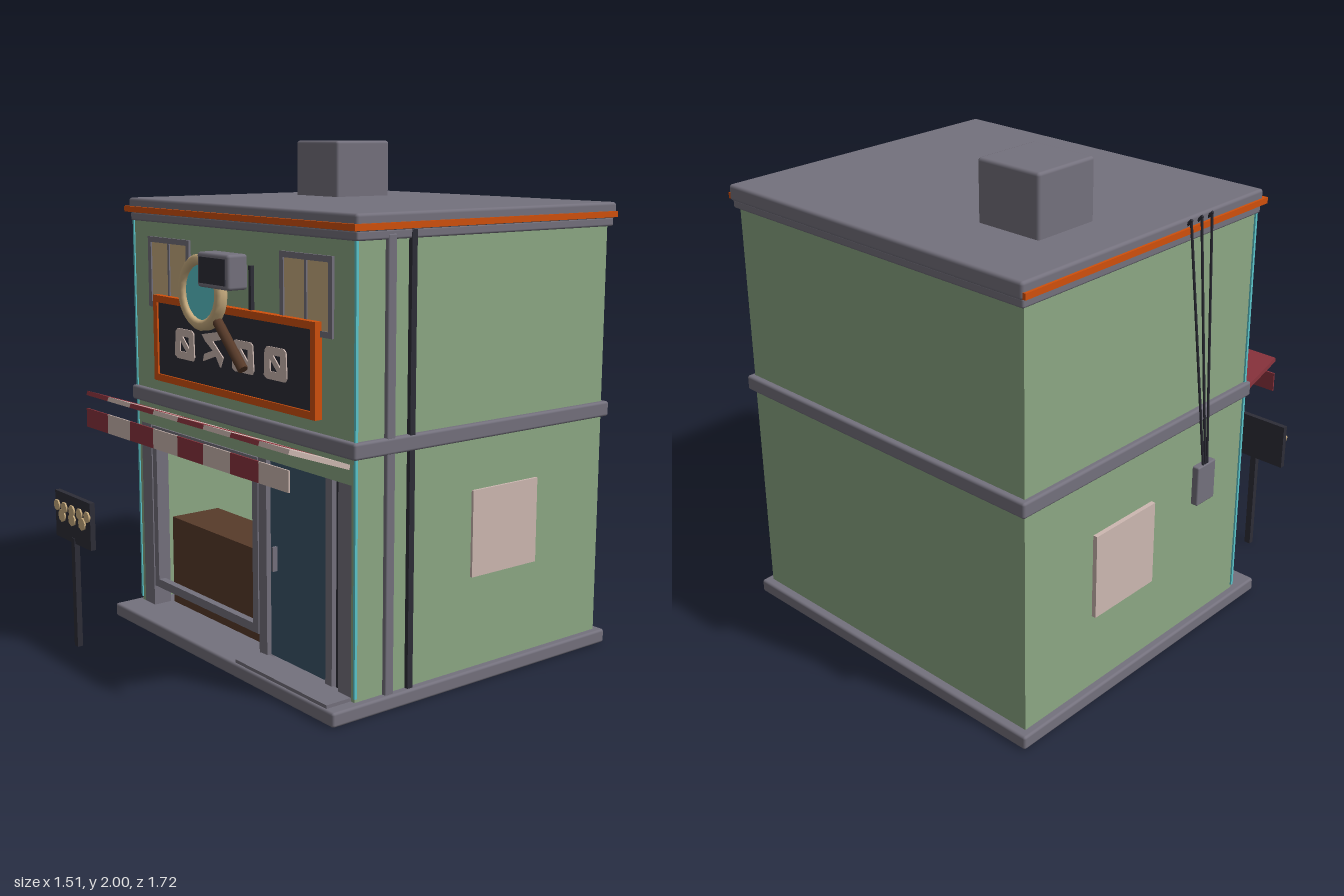
import * as THREE from 'three';
import { RoundedBoxGeometry } from 'three/addons/geometries/RoundedBoxGeometry.js';

const paint = (name, color) => {
  const m = new THREE.MeshStandardMaterial({ color });
  m.name = name;
  return m;
};

export function createModel() {
  const root = new THREE.Group();
  root.name = 'cornerShop';
  const grey = paint('stone grey', 0x74717d), green = paint('wall green', 0x8ca884);
  const orange = paint('trim orange', 0xd0500c), dark = paint('charcoal', 0x2d2d37);
  const tan = paint('warm tan', 0xcaae80), cyan = paint('light cyan', 0x5bc6cc);
  const red = paint('awning red', 0x8c343e), cream = paint('pale pink', 0xcdb8b1);
  const brown = paint('wood brown', 0x583b2a), blue = paint('door blue', 0x3a556a);

  const add = (name, geo, mat, x = 0, y = 0, z = 0, parent = root) => {
    const m = new THREE.Mesh(geo, mat);
    m.name = name;
    m.position.set(x, y, z);
    parent.add(m);
    return m;
  };
  // Box given by its limits; bevel > 0 softens the edges
  const box = (name, mat, [x0, x1], [y0, y1], [z0, z1], bevel = 0) => {
    const s = [x1 - x0, y1 - y0, z1 - z0];
    const g = bevel ? new RoundedBoxGeometry(...s, 2, bevel) : new THREE.BoxGeometry(...s);
    return add(name, g, mat, (x0 + x1) / 2, (y0 + y1) / 2, (z0 + z1) / 2);
  };
  // Straight round bar between two points
  const bar = (name, mat, a, b, r, sides = 8) => {
    const p = new THREE.Vector3(...a), q = new THREE.Vector3(...b), d = q.clone().sub(p);
    const m = add(name, new THREE.CylinderGeometry(r, r, d.length(), sides), mat, ...p.clone().lerp(q, 0.5).toArray());
    m.quaternion.setFromUnitVectors(new THREE.Vector3(0, 1, 0), d.normalize());
    return m;
  };
  const rectPath = (P, x0, x1, y0, y1) => {
    const p = new P();
    p.moveTo(x0, y0); p.lineTo(x1, y0); p.lineTo(x1, y1); p.lineTo(x0, y1); p.closePath();
    return p;
  };
  // Rectangular frame with an open middle
  const frame = (name, mat, [x0, x1], [y0, y1], [z0, z1], t) => {
    const s = rectPath(THREE.Shape, x0, x1, y0, y1);
    s.holes.push(rectPath(THREE.Path, x0 + t, x1 - t, y0 + t, y1 - t));
    return add(name, new THREE.ExtrudeGeometry(s, { depth: z1 - z0, bevelEnabled: false }), mat, 0, 0, z0);
  };

  // Base, storey band and roof
  box('baseSlab', grey, [-0.75, 0.75], [0, 0.055], [-0.86, 0.54], 0.01);
  box('doorStep', grey, [0.14, 0.7], [0.05, 0.068], [0.4, 0.53]);
  box('storeyBand', grey, [-0.74, 0.74], [0.935, 0.995], [-0.85, 0.44], 0.01);
  box('roofLowerEdge', grey, [-0.735, 0.735], [1.68, 1.715], [-0.845, 0.43], 0.008);
  box('roofSlab', grey, [-0.74, 0.74], [1.71, 1.772], [-0.855, 0.435], 0.012);
  box('roofTrimFront', orange, [-0.75, 0.75], [1.715, 1.738], [0.42, 0.45]);
  for (const s of [-1, 1])
    box('roofTrimSide', orange, [s * 0.739 - 0.011, s * 0.739 + 0.011], [1.715, 1.738], [-0.85, 0.45]);
  box('chimney', grey, [-0.52, -0.24], [1.76, 2], [-0.54, -0.26], 0.012);

  // Walls around an open shop floor
  box('upperWalls', green, [-0.72, 0.72], [0.84, 1.69], [-0.825, 0.42]);
  box('backWall', green, [-0.72, 0.72], [0.05, 0.84], [-0.825, -0.8]);
  box('shopBackdrop', dark, [-0.7, 0.7], [0.05, 0.84], [-0.8, -0.79]);
  for (const s of [-1, 1]) {
    box('sideWall', green, [s * 0.71 - 0.01, s * 0.71 + 0.01], [0.05, 0.84], [-0.8, 0.42]);
    box('frontColumn', grey, [s * 0.663 - 0.037, s * 0.663 + 0.037], [0.05, 0.84], [0.34, 0.42]);
    box('cornerLight', cyan, [s * 0.722 - 0.005, s * 0.722 + 0.005], [0.07, 1.68], [0.414, 0.425]);
  }

  // Shop window, counter and door
  frame('shopWindowFrame', grey, [-0.63, 0.13], [0.14, 0.835], [0.385, 0.415], 0.035);
  box('counter', brown, [-0.615, 0.075], [0.055, 0.43], [0.1, 0.33]);
  box('doorPostInner', grey, [0.13, 0.18], [0.05, 0.84], [0.37, 0.41]);
  box('doorPostOuter', grey, [0.54, 0.578], [0.05, 0.84], [0.37, 0.41]);
  box('doorSidePanel', dark, [0.575, 0.63], [0.05, 0.84], [0.37, 0.39]);
  box('door', blue, [0.18, 0.54], [0.068, 0.835], [0.37, 0.39]);
  box('doorHandle', grey, [0.212, 0.222], [0.41, 0.505], [0.39, 0.41]);

  // Upper windows
  for (const s of [-1, 1]) {
    const x = s * 0.45;
    box('upperWindowPane', tan, [x - 0.14, x + 0.14], [1.35, 1.61], [0.418, 0.424]);
    frame('upperWindowFrame', grey, [x - 0.152, x + 0.152], [1.338, 1.622], [0.418, 0.43], 0.022);
    box('upperWindowBar', grey, [x - 0.006, x + 0.006], [1.35, 1.61], [0.418, 0.429]);
  }

  // Sign board with abstract patches
  frame('signFrame', orange, [-0.535, 0.535], [1.045, 1.392], [0.42, 0.452], 0.028);
  box('signBoard', dark, [-0.51, 0.51], [1.07, 1.367], [0.42, 0.444]);
  for (const x of [-0.31, 0.09, 0.295]) {
    const s = new THREE.Shape();
    [[-0.07, -0.05], [-0.05, -0.06], [0.06, -0.06], [0.07, -0.045], [0.065, 0.05], [0.05, 0.06], [-0.05, 0.06], [-0.065, 0.045]]
      .forEach(([u, v], i) => (i ? s.lineTo(u, v) : s.moveTo(u, v)));
    for (const k of [-1, 1]) {
      const h = new THREE.Path();
      h.moveTo(k * 0.032, k * 0.03); h.lineTo(-k * 0.014, k * 0.03); h.lineTo(k * 0.032, -k * 0.014); h.closePath();
      s.holes.push(h);
    }
    add('signPatch', new THREE.ExtrudeGeometry(s, { depth: 0.006, bevelEnabled: false }), cream, x, 1.215, 0.443);
  }
  const zig = new THREE.Shape();
  [[-0.075, 0.055], [0.06, 0.08], [0.07, 0.05], [0.0, 0.035], [0.07, -0.02], [0.05, -0.06], [0.02, -0.02], [-0.07, -0.05], [-0.06, -0.02], [0.0, 0.0], [-0.05, 0.03]]
    .forEach(([u, v], i) => (i ? zig.lineTo(u, v) : zig.moveTo(u, v)));
  add('signPatch', new THREE.ExtrudeGeometry(zig, { depth: 0.006, bevelEnabled: false }), cream, -0.11, 1.215, 0.443);

  // Magnifying glass
  const glass = new THREE.Group();
  glass.name = 'magnifyingGlass';
  glass.position.set(-0.12, 1.44, 0.485);
  root.add(glass);
  const rim = [[0.105, -0.016], [0.118, -0.024], [0.134, -0.024], [0.146, -0.012], [0.146, 0.012], [0.134, 0.024], [0.118, 0.024], [0.105, 0.016], [0.105, -0.016]];
  add('lensRim', new THREE.LatheGeometry(rim.map(p => new THREE.Vector2(...p)), 24), tan, 0, 0, 0, glass).rotation.x = Math.PI / 2;
  add('lens', new THREE.CylinderGeometry(0.108, 0.108, 0.012, 24), cyan, 0, 0, 0, glass).rotation.x = Math.PI / 2;
  bar('magnifierHandle', brown, [-0.02, 1.34, 0.485], [0.145, 1.178, 0.485], 0.02);

  // Screen box and its pole
  box('screenBox', grey, [-0.102, 0.105], [1.465, 1.597], [0.43, 0.52], 0.012);
  box('screen', dark, [-0.085, 0.088], [1.482, 1.58], [0.515, 0.523]);
  box('screenPole', dark, [0.113, 0.128], [1.38, 1.555], [0.42, 0.435]);

  // Striped awning rising outward, with a hanging valance
  const stripe = 1.38 / 8, slope = Math.atan2(0.09, 0.26);
  for (let i = 0; i < 8; i++) {
    const x = -0.69 + stripe * (i + 0.5), mat = i % 2 ? cream : red;
    add('awningStripe', new THREE.BoxGeometry(stripe, 0.018, 0.275), mat, x, 0.948, 0.55).rotation.x = -slope;
    add('valanceStripe', new THREE.BoxGeometry(stripe, 0.077, 0.006), mat, x, 0.892, 0.68);
  }

  // Side wall panels, pilaster and drain pipe
  box('rightPanel', cream, [-0.738, -0.718], [0.36, 0.7], [-0.47, -0.14]);
  box('leftPanel', cream, [0.718, 0.73], [0.41, 0.742], [-0.467, -0.132]);
  box('sidePilaster', grey, [0.71, 0.737], [0.05, 1.7], [0.253, 0.292], 0.006);
  box('drainPipe', dark, [0.71, 0.737], [0.05, 1.71], [0.163, 0.187]);

  // Cables running down to a meter box
  box('meterBox', grey, [-0.748, -0.715], [0.58, 0.745], [0.11, 0.22], 0.006);
  for (const [i, z] of [-0.02, 0.04, 0.1].entries()) {
    bar('cable', dark, [-0.753, 1.765, z], [-0.74, 0.73, 0.15 + i * 0.012], 0.005, 6);
    bar('cableHook', dark, [-0.735, 1.745, z], [-0.756, 1.768, z], 0.006, 6);
  }

  // Free-standing street sign with a row of blossoms
  box('streetSignPost', dark, [-0.535, -0.508], [0, 0.45], [0.83, 0.853]);
  box('streetSignBoard', dark, [-0.665, -0.38], [0.43, 0.62], [0.828, 0.85]);
  const bud = (x, y, r) =>
    add('signBud', new THREE.CylinderGeometry(r, r, 0.008, 7), tan, x, y, 0.853).rotation.x = Math.PI / 2;
  for (const x of [-0.645, -0.585, -0.523, -0.461, -0.4]) bud(x, 0.562, 0.023);
  for (const x of [-0.605, -0.523, -0.441]) bud(x, 0.526, 0.027);

  return root;
}
